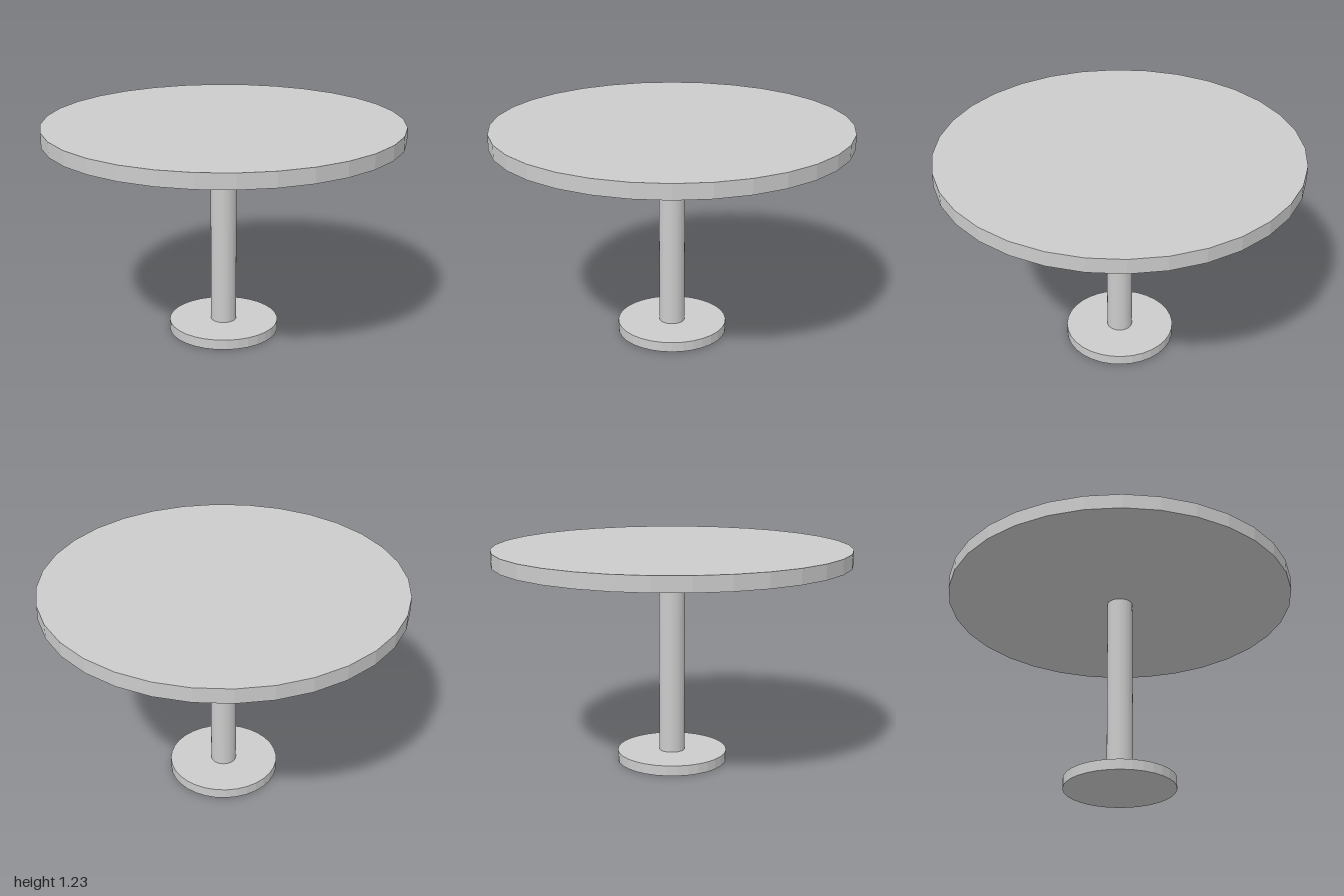
import * as THREE from 'three';

const SIDES = 32;

export function createModel() {
  const table = new THREE.Group();
  table.name = 'pedestalTable';
  const material = new THREE.MeshStandardMaterial({ color: 0xcccccc, flatShading: true });

  // Adds a round part standing between two heights
  function addDisc(name, radius, bottom, top) {
    const geometry = new THREE.CylinderGeometry(radius, radius, top - bottom, SIDES);
    const mesh = new THREE.Mesh(geometry, material);
    mesh.name = name;
    mesh.position.y = (bottom + top) / 2;
    table.add(mesh);
  }

  addDisc('base', 0.313, 0, 0.058);
  addDisc('post', 0.073, 0.058, 1.148);
  addDisc('tableTop', 1, 1.148, 1.231);

  return table;
}
